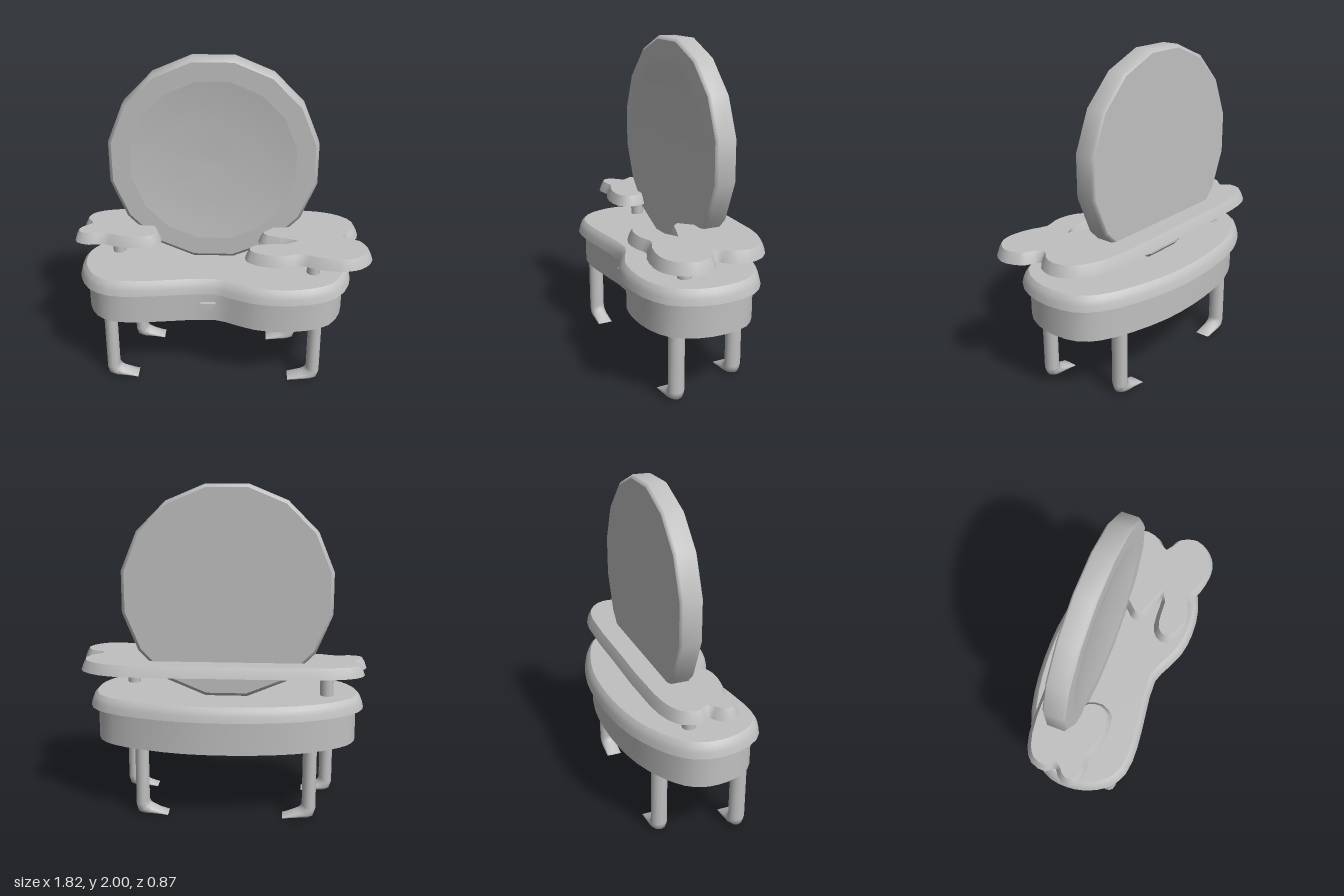
import * as THREE from 'three';

const grey = new THREE.MeshStandardMaterial({ color: 0xc0c0c0, side: THREE.DoubleSide });
grey.name = 'light grey';

const mesh = (name, geometry, parent) => {
  const m = new THREE.Mesh(geometry, grey);
  m.name = name;
  parent.add(m);
  return m;
};

// Skin a list of closed rings, each with the same number of points
function loft(rings) {
  const n = rings[0].length, pos = [], idx = [];
  rings.forEach(r => r.forEach(p => pos.push(p.x, p.y, p.z)));
  for (let k = 0; k < rings.length - 1; k++) {
    for (let i = 0; i < n; i++) {
      const a = k * n + i, b = k * n + (i + 1) % n;
      idx.push(a, b, b + n, a, b + n, a + n);
    }
  }
  const g = new THREE.BufferGeometry();
  g.setAttribute('position', new THREE.Float32BufferAttribute(pos, 3));
  g.setIndex(idx);
  g.computeVertexNormals();
  return g;
}

// Closed plan outline; x is kept and z becomes -y, wound anticlockwise
function outline(points, steps) {
  const curve = new THREE.CatmullRomCurve3(
    points.map(([x, z]) => new THREE.Vector3(x, -z, 0)), true, 'centripetal');
  const pts = curve.getPoints(points.length * steps).slice(0, -1)
    .map(p => new THREE.Vector2(p.x, p.y));
  return THREE.ShapeUtils.area(pts) < 0 ? pts.reverse() : pts;
}

// Move the outline inwards by d
const inset = (pts, d) => pts.map((p, i) => {
  const a = pts[(i + pts.length - 1) % pts.length], b = pts[(i + 1) % pts.length];
  const t = b.clone().sub(a).normalize();
  return new THREE.Vector2(p.x - t.y * d, p.y + t.x * d);
});
const ring = (pts, d, y) => inset(pts, d).map(p => new THREE.Vector3(p.x, y, -p.y));
const cap = (pts, d, y) =>
  new THREE.ShapeGeometry(new THREE.Shape(inset(pts, d))).rotateX(-Math.PI / 2).translate(0, y, 0);

// Slab with a rounded upper edge
function slab(name, pts, profile) {
  const g = new THREE.Group();
  g.name = name;
  const [d0, y0] = profile[0], [d1, y1] = profile[profile.length - 1];
  mesh(name + 'Edge', loft(profile.map(([d, y]) => ring(pts, d, y))), g);
  mesh(name + 'Top', cap(pts, d1, y1), g);
  const under = cap(pts, d0, y0);
  const ix = under.index.array;
  for (let i = 0; i < ix.length; i += 3) [ix[i], ix[i + 1]] = [ix[i + 1], ix[i]];
  under.computeVertexNormals();
  mesh(name + 'Underside', under, g);
  return g;
}

// Leg with a wedge foot pointing inwards; each row is outer x, y, inner x, y
const legSections = [
  [-0.042, 0.6, 0.042, 0.6], [-0.042, 0.055, 0.042, 0.085],
  [-0.028, 0.012, 0.055, 0.062], [0, 0, 0.085, 0.045], [0.16, 0, 0.16, 0.004],
];
function legGeometry(dir) {
  const sides = 12;
  return loft(legSections.map(([ox, oy, ix, iy]) => Array.from({ length: sides }, (_, i) => {
    const a = -dir * i / sides * Math.PI * 2, c = (1 - Math.cos(a)) / 2;
    return new THREE.Vector3(dir * (ox + (ix - ox) * c), oy + (iy - oy) * c, Math.sin(a) * 0.05);
  })));
}

export function createModel() {
  const model = new THREE.Group();
  model.name = 'dressingTable';

  // Kidney-shaped table top
  const tablePts = outline([
    [-0.89, 0.03], [-0.87, 0.14], [-0.8, 0.27], [-0.68, 0.345], [-0.5, 0.355], [-0.28, 0.33],
    [-0.04, 0.31], [0.08, 0.36], [0.2, 0.41], [0.35, 0.43], [0.54, 0.41], [0.7, 0.33],
    [0.79, 0.17], [0.81, 0], [0.77, -0.17], [0.66, -0.28], [0.46, -0.365], [0.2, -0.425],
    [-0.04, -0.437], [-0.28, -0.42], [-0.5, -0.375], [-0.69, -0.29], [-0.82, -0.19], [-0.88, -0.08],
  ], 2);
  model.add(slab('tableTop', tablePts, [[0, 0.65], [0.008, 0.685], [0.02, 0.715], [0.04, 0.735]]));

  // Apron, open below
  mesh('apron', loft([ring(tablePts, 0.045, 0.44), ring(tablePts, 0.045, 0.65)]), model);

  // Half-round drawer pull
  const pull = new THREE.Shape();
  pull.moveTo(-0.046, 0.022);
  pull.bezierCurveTo(-0.046, -0.035, 0.046, -0.035, 0.046, 0.022);
  pull.closePath();
  mesh('drawerPull', new THREE.ExtrudeGeometry(pull, { depth: 0.05, bevelEnabled: false, curveSegments: 8 }), model)
    .position.set(-0.073, 0.548, 0.24);

  // Legs: the front pair stands wider than the back pair
  for (const [name, x, z, dir] of [
    ['frontRightLeg', -0.687, 0.225, 1], ['frontLeftLeg', 0.592, 0.225, -1],
    ['backRightLeg', -0.56, -0.225, 1], ['backLeftLeg', 0.462, -0.225, -1],
  ]) mesh(name, legGeometry(dir), model).position.set(x, 0, z);

  // Raised shelf with lobed arms
  const shelfPts = outline([
    [-0.6, -0.295], [-0.78, -0.26], [-0.86, -0.2], [-0.88, -0.1], [-0.84, -0.05], [-0.88, -0.02],
    [-0.91, 0.04], [-0.89, 0.1], [-0.81, 0.13], [-0.72, 0.118], [-0.65, 0.145], [-0.55, 0.165],
    [-0.42, 0.15], [-0.37, 0.07], [-0.39, -0.02], [-0.46, -0.1], [-0.2, -0.11], [0.1, -0.11],
    [0.34, -0.1], [0.28, -0.01], [0.23, 0.05], [0.28, 0.12], [0.45, 0.17], [0.3, 0.18],
    [0.2, 0.2], [0.15, 0.26], [0.17, 0.325], [0.28, 0.38], [0.4, 0.38], [0.48, 0.355],
    [0.56, 0.39], [0.7, 0.415], [0.79, 0.4], [0.86, 0.35], [0.905, 0.26], [0.89, 0.18],
    [0.85, 0.12], [0.77, 0.08], [0.82, 0.03], [0.855, -0.07], [0.82, -0.18], [0.71, -0.265],
    [0.54, -0.305], [0, -0.308],
  ], 2);
  model.add(slab('shelf', shelfPts, [[0, 0.88], [0.012, 0.915], [0.028, 0.945]]));

  // Posts holding the shelf
  for (const [name, x, z] of [['rightPost', -0.66, -0.085], ['leftPost', 0.57, 0.165]]) {
    mesh(name, new THREE.CylinderGeometry(0.041, 0.041, 0.17, 12), model).position.set(x, 0.805, z);
  }

  // Sixteen-sided mirror: rim, flat back, front border and shallow dished glass
  const mirror = new THREE.Group();
  mirror.name = 'mirror';
  mirror.position.set(-0.05, 1.367, 0);
  model.add(mirror);
  const parts = {
    mirrorRim: [[0.625, -0.152], [0.645, -0.138], [0.645, -0.034], [0.625, -0.02]],
    mirrorBack: [[0, -0.152], [0.625, -0.152]],
    mirrorBorder: [[0.625, -0.02], [0.51, -0.02]],
    mirrorGlass: [[0.51, -0.02], [0.4, -0.033], [0.25, -0.044], [0, -0.05]],
  };
  for (const [name, profile] of Object.entries(parts)) {
    const g = new THREE.LatheGeometry(profile.map(p => new THREE.Vector2(...p)), 16, Math.PI / 16);
    mesh(name, g.rotateX(Math.PI / 2), mirror);
  }
  return model;
}
